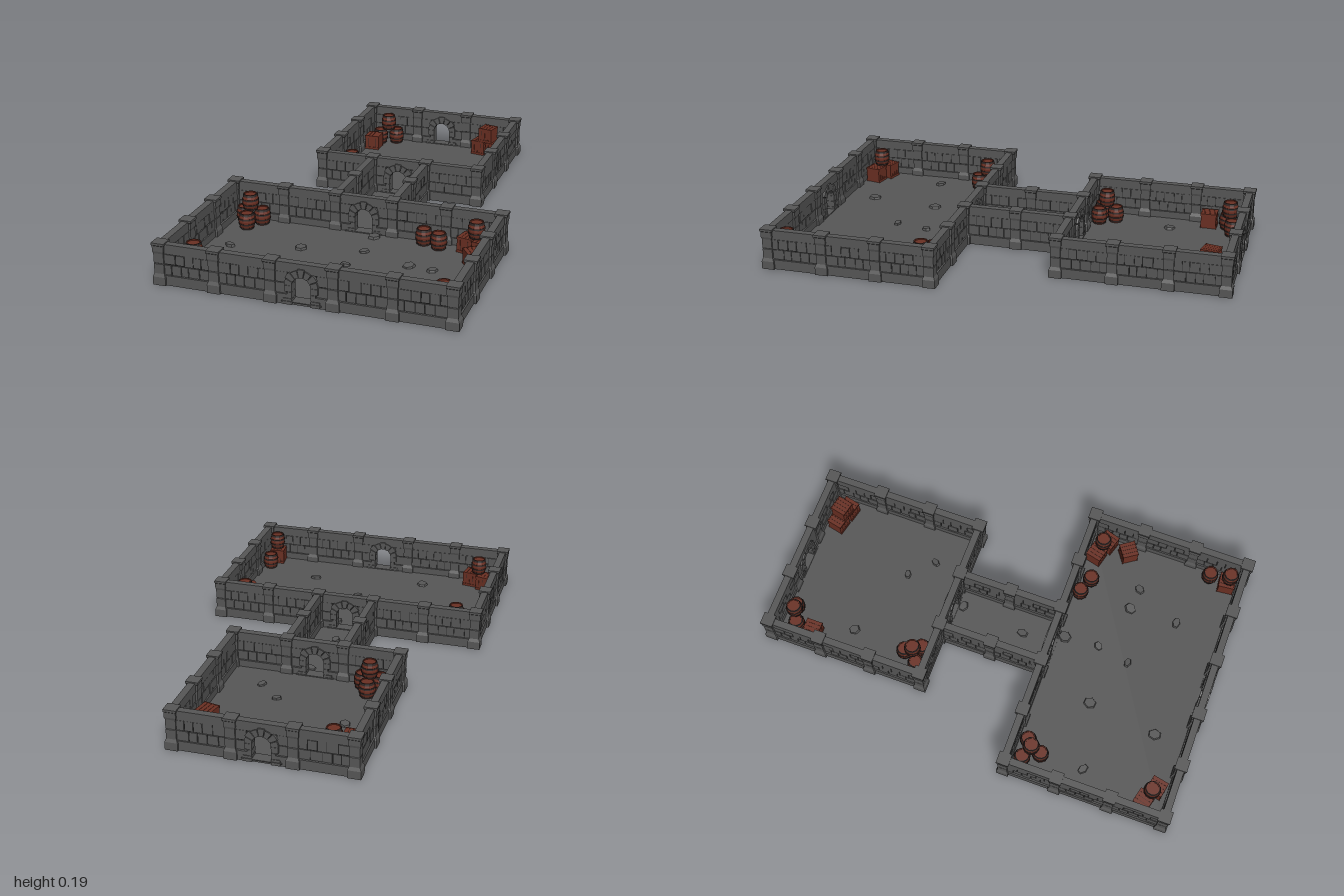
import * as THREE from 'three';
import { mergeGeometries } from 'three/addons/utils/BufferGeometryUtils.js';

const mat = (name, color) => Object.assign(new THREE.MeshStandardMaterial({ color }), { name });

let seed = 7;
const rand = () => (seed = (seed * 16807) % 2147483647) / 2147483647;
const jit = (a) => (rand() - 0.5) * 2 * a;

// faceted copy of a geometry, so that parts merge and keep hard edges
function facet(g) {
  const out = g.index ? g.toNonIndexed() : g;
  out.computeVertexNormals();
  return out;
}
const box = (w, h, d, x = 0, y = 0, z = 0) => facet(new THREE.BoxGeometry(w, h, d).translate(x, y, z));
const lathe = (pts, sides, start = 0) =>
  facet(new THREE.LatheGeometry(pts.map(([r, y]) => new THREE.Vector2(r, y)), sides, start));

function part(name, geos, material) {
  const m = new THREE.Mesh(mergeGeometries(geos), material);
  m.name = name;
  return m;
}
function extrude(shape, depth) {
  return facet(new THREE.ExtrudeGeometry(shape, { depth, bevelEnabled: false, curveSegments: 8 })
    .translate(0, 0, -depth / 2));
}

const FLOOR = 0.012, TOP = 0.18;
const ARCH = { r: 0.04, R: 0.076, y: 0.083 };

export function createModel() {
  const stone = mat('stone', 0x565656);
  const mortar = mat('mortar', 0x303030);
  const wood = mat('redWood', 0x6a2f22);
  const iron = mat('darkIron', 0x302624);
  const model = new THREE.Group();
  model.name = 'dungeonRooms';

  // Two staggered rows of bricks between x = a and x = b
  function bricks(a, b, list) {
    for (let row = 0; row < 2; row++) {
      const n = Math.max(1, Math.round((b - a) / 0.043));
      const step = (b - a) / n, y = 0.045 + row * 0.047;
      const cuts = [a];
      for (let i = 1; i < n; i++) cuts.push(a + step * (i + (row ? 0.22 : -0.22)) + jit(0.005));
      cuts.push(b);
      for (let i = 0; i < n; i++) {
        const w = cuts[i + 1] - cuts[i] - 0.003, h = 0.043 + jit(0.0015);
        list.push(box(w, h, 0.027 + jit(0.003), (cuts[i] + cuts[i + 1]) / 2, y + 0.0225, 0));
      }
    }
  }

  // One wall bay between two pillars, with or without an arched doorway
  function wall(x0, z0, x1, z1, door = false) {
    const g = new THREE.Group();
    g.name = door ? 'doorwayWall' : 'wall';
    const L = Math.hypot(x1 - x0, z1 - z0), e = L / 2;
    const bands = [box(L, 0.042, 0.031, 0, TOP - 0.021, 0)];
    const rows = [];
    if (!door) {
      bands.push(box(L, 0.044, 0.037, 0, 0.022, 0));
      bricks(-e + 0.02, e - 0.02, rows);
      g.add(part('mortarCore', [box(L, 0.14, 0.018, 0, 0.085, 0)], mortar));
    } else {
      const s = new THREE.Shape();
      s.moveTo(-e, 0.002).lineTo(-ARCH.r - 0.002, 0.002).lineTo(-ARCH.r - 0.002, ARCH.y);
      s.absarc(0, ARCH.y, ARCH.r + 0.002, Math.PI, 0, true);
      s.lineTo(ARCH.r + 0.002, 0.002).lineTo(e, 0.002).lineTo(e, 0.15).lineTo(-e, 0.15);
      g.add(part('mortarCore', [extrude(s, 0.018)], mortar));
      const blocks = [];
      for (const side of [-1, 1]) {
        const w = e - 0.045;
        bands.push(box(w, 0.044, 0.037, side * (0.045 + w / 2), 0.022, 0));
        const ends = [side * 0.062, side * (e - 0.02)].sort((p, q) => p - q);
        bricks(ends[0], ends[1], rows);
        // door jamb blocks, alternately long and short
        [0.037, 0.02, 0.03].forEach((bw, i) =>
          blocks.push(box(bw, 0.0265, 0.044, side * (ARCH.r + bw / 2), 0.014 + i * 0.028, 0)));
      }
      // wedge stones around the arch
      const n = 7;
      for (let i = 0; i < n; i++) {
        const a = (i / n) * Math.PI + 0.025, b = ((i + 1) / n) * Math.PI - 0.025;
        const R = ARCH.R + (i % 2 ? 0 : -0.005);
        const v = new THREE.Shape();
        v.absarc(0, ARCH.y, R, a, b, false);
        v.absarc(0, ARCH.y, ARCH.r, b, a, true);
        blocks.push(extrude(v, 0.044));
      }
      g.add(part('archStones', blocks, stone));
      g.add(part('threshold', [box(0.17, 0.004, 0.05, 0, FLOOR + 0.002, 0)], stone));
    }
    g.add(part('wallBands', bands, stone), part('bricks', rows, stone));
    g.position.set((x0 + x1) / 2, 0, (z0 + z1) / 2);
    g.rotation.y = -Math.atan2(z1 - z0, x1 - x0);
    model.add(g);
  }

  // Square pillar with flared base and cap
  const q = Math.SQRT2;
  const pillarGeo = lathe([[0, 0], [0.028, 0], [0.028, 0.036], [0.022, 0.05], [0.022, 0.092], [0.019, 0.094],
    [0.022, 0.096], [0.022, 0.138], [0.025, 0.148], [0.025, 0.172], [0.028, 0.175], [0.028, 0.185], [0, 0.185]]
    .map(([r, y]) => [r * q, y]), 4, Math.PI / 4);
  const used = new Set();
  function pillar(x, z) {
    const key = `${x},${z}`;
    if (used.has(key)) return;
    used.add(key);
    const m = new THREE.Mesh(pillarGeo, stone);
    m.name = 'pillar';
    m.position.set(x, 0, z);
    model.add(m);
  }

  // Rectangular room over a grid of pillar positions; doors in the middle bays
  function room(name, xs, zs) {
    const xa = xs[0], xb = xs[xs.length - 1], za = zs[0], zb = zs[zs.length - 1];
    model.add(part(name, [box(xb - xa + 0.03, FLOOR, zb - za + 0.03, 0, FLOOR / 2, (za + zb) / 2)], stone));
    const mid = (xs.length - 2) / 2;
    for (const z of [za, zb]) xs.forEach((x, i) => {
      pillar(x, z);
      if (i < xs.length - 1) wall(x, z, xs[i + 1], z, i === mid);
    });
    for (const x of [xa, xb]) zs.forEach((z, i) => {
      pillar(x, z);
      if (i < zs.length - 1) wall(x, z, x, zs[i + 1]);
    });
  }
  room('largeRoomFloor', [-0.617, -0.376, -0.132, 0.132, 0.376, 0.617], [0.24, 0.48, 0.725, 0.972]);
  room('smallRoomFloor', [-0.38, -0.13, 0.13, 0.38], [-0.972, -0.73, -0.49, -0.245]);

  // Corridor joining the rooms
  model.add(part('corridorFloor', [box(0.29, FLOOR - 0.001, 0.47, 0, FLOOR / 2, 0)], stone));
  for (const x of [-0.131, 0.131]) {
    pillar(x, 0);
    wall(x, -0.245, x, 0);
    wall(x, 0, x, 0.24);
  }

  // Barrels: bulged staves, sunken lid, iron hoops
  const H = 0.074;
  const staves = lathe([[0, 0], [0.029, 0], [0.035, 0.02], [0.037, 0.037], [0.035, 0.054], [0.029, H],
    [0.026, H], [0.026, H - 0.005], [0, H - 0.005]], 12);
  const hoop = (y, h, r0, r1) => lathe([[r0 - 0.004, y], [r0, y], [r1, y + h], [r1 - 0.004, y + h]], 12);
  const hoops = mergeGeometries([hoop(0.002, 0.008, 0.031, 0.0335), hoop(0.022, 0.007, 0.0372, 0.0382),
    hoop(0.045, 0.007, 0.0382, 0.0372), hoop(H - 0.01, 0.01, 0.0335, 0.031)]);
  function barrel(x, z, level = 0) {
    const g = new THREE.Group();
    g.name = 'barrel';
    g.add(part('staves', [staves], wood), part('hoops', [hoops], iron));
    g.position.set(x, FLOOR + level * H, z);
    model.add(g);
  }

  // Crates: dark core wrapped in planks, with end frames
  const S = 0.072, planks = [];
  for (let i = 0; i < 4; i++) planks.push(box(0.0165, S - 0.003, S - 0.003, -0.027 + i * 0.018, S / 2, 0));
  for (const s of [-1, 1]) for (const y of [0.006, S - 0.006])
    planks.push(box(S, 0.011, 0.004, 0, y, s * (S / 2 - 0.001)));
  const core = box(S - 0.006, S - 0.006, S - 0.006, 0, S / 2, 0);
  function crate(x, z, turn = 0, level = 0) {
    const g = new THREE.Group();
    g.name = 'crate';
    g.add(part('planks', planks, wood), part('crateCore', [core], iron));
    g.position.set(x, FLOOR + level * S, z);
    g.rotation.y = turn;
    model.add(g);
  }

  // x, z, stacking level
  [[-0.55, 0.3], [-0.465, 0.3], [-0.508, 0.372], [-0.508, 0.327, 1],
    [0.285, 0.286], [0.36, 0.313], [0.525, 0.312, 1], [-0.512, 0.885, 1],
    [0.566, 0.825], [0.558, 0.915, 1],
    [-0.309, -0.884], [-0.27, -0.9, 1], [-0.233, -0.915],
    [-0.305, -0.3], [-0.226, -0.3], [-0.265, -0.37], [-0.265, -0.327, 1]].forEach((b) => barrel(...b));
  // x, z, turn, stacking level
  [[0.485, 0.297, -0.25], [0.56, 0.33, -0.3], [0.545, 0.434, 0.6], [-0.55, 0.865, -0.25], [-0.477, 0.903, -0.2],
    [0.553, 0.91, 0.1], [-0.317, -0.8, 0], [0.224, -0.896, -0.22], [0.302, -0.876, -0.22],
    [0.263, -0.886, -0.22, 1]].forEach((c) => crate(...c));

  // Loose flat slabs on the floors
  [[0.04, 0.6], [0.07, 0.45], [0.295, 0.53], [0.4, 0.54], [-0.24, 0.82], [-0.5, 0.57], [-0.2, 0.5], [0.3, 0.75],
    [0.04, -0.2], [0.01, 0.1], [0.06, 0.29], [-0.24, -0.63], [0.1, -0.5], [0.2, -0.4]].forEach(([x, z]) => {
    const r = 0.022 + rand() * 0.012;
    const m = part('looseSlab', [facet(new THREE.CylinderGeometry(r * 0.85, r, 0.012, 6))], stone);
    m.scale.set(1, 1, 0.65 + rand() * 0.3);
    m.rotation.set(jit(0.1), rand() * 6, jit(0.1));
    m.position.set(x, FLOOR + 0.004, z);
    model.add(m);
  });
  return model;
}
